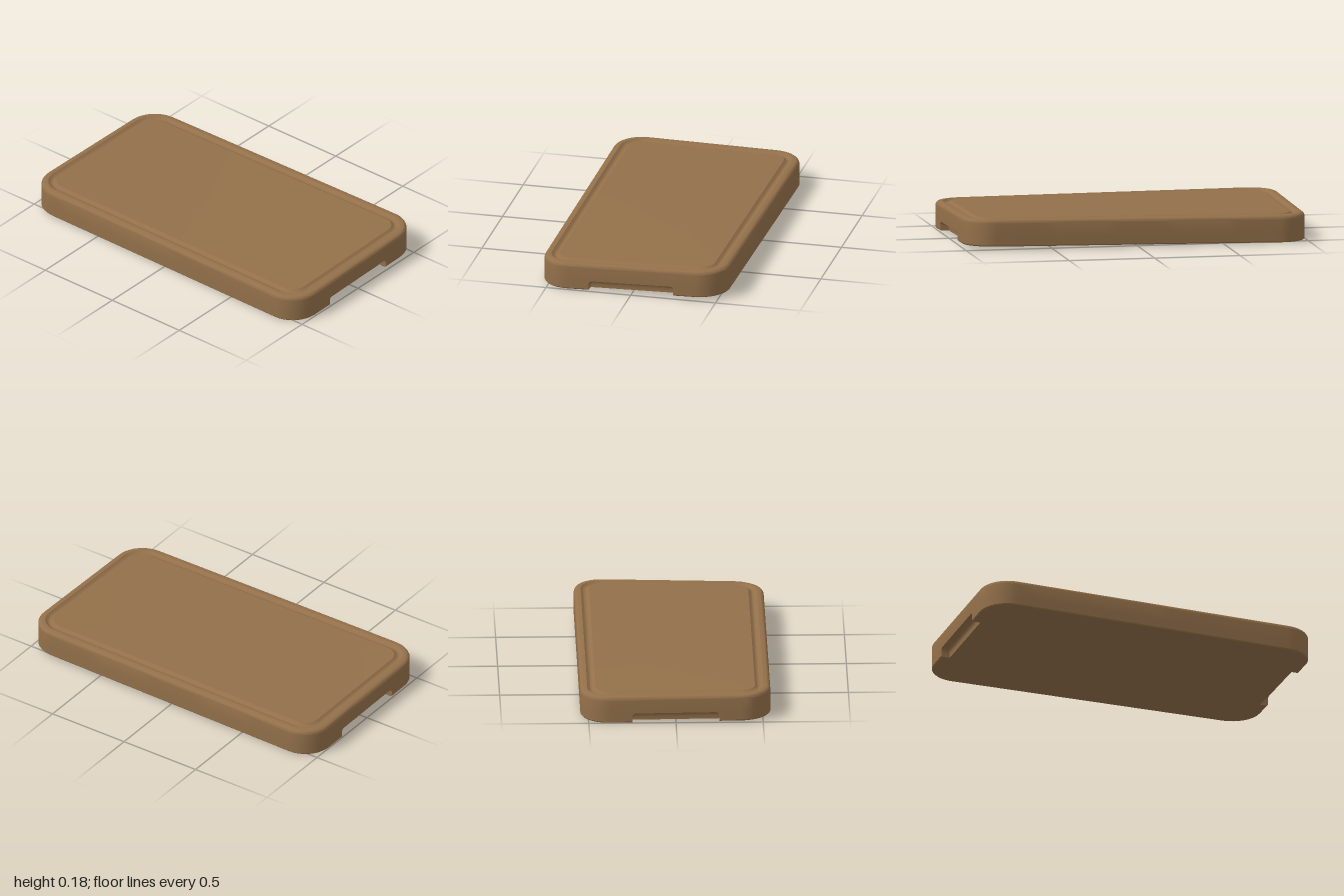
import * as THREE from 'three';
import { toCreasedNormals } from 'three/addons/utils/BufferGeometryUtils.js';

const HX = 1, HZ = 0.545, R = 0.17;        // half length, half width, corner radius
const H = 0.157;                           // thickness
const NOTCH = { half: 0.25, height: 0.055, depth: 0.05, round: 0.02 };
const CX = HX - R, CZ = HZ - R;            // corner centres

// Height of the finger notch, with rounded upper corners
function notchHeight(z) {
  const r = NOTCH.round;
  const gap = Math.max(0, r - (NOTCH.half - Math.abs(z)));
  return NOTCH.height - r + Math.sqrt(Math.max(0, r * r - gap * gap));
}

// Half of the plan outline: one short end, two corners and one long side
function halfOutline() {
  const cols = [];
  const add = (x, z, angle, notch = 0) =>
    cols.push({ x, z, nx: Math.cos(angle), nz: Math.sin(angle), notch });
  const n = NOTCH.half;
  add(CX, -n, 0);
  for (const e of [0, 0.002, 0.006, 0.012, 0.02, 0.1, 0.18]) add(CX, e - n, 0, notchHeight(e - n));
  for (const e of [0.25, 0.18, 0.1, 0.02, 0.012, 0.006, 0.002, 0]) add(CX, n - e, 0, notchHeight(n - e));
  add(CX, n, 0);
  for (let i = 0; i <= 12; i++) add(CX, CZ, (i / 12) * Math.PI / 2);
  for (let i = 1; i < 14; i++) add(CX - (i / 14) * 2 * CX, CZ, Math.PI / 2);
  for (let i = 0; i <= 12; i++) add(-CX, CZ, (1 + i / 12) * Math.PI / 2);
  return cols;
}

// Cross-section rings from the underside, up the wall and across the groove.
// t runs 0..1 up the notch; scale shrinks a ring towards the middle.
function sectionRings() {
  const rings = [{ inset: 0.1, y: 0, scale: 0 }, { inset: 0.1, y: 0, scale: 0.5 }, { inset: 0.1, y: 0 }];
  for (const t of [0, 0.12, 0.35, 0.55, 0.7, 0.82, 0.91, 0.97, 1])
    rings.push({ inset: t === 0 ? 0.006 : 0, y: t * NOTCH.height, t });
  // Rounded upper edge
  const r = 0.024;
  for (let i = 0; i <= 6; i++) {
    const a = (i / 6) * Math.PI / 2;
    rings.push({ inset: r * (1 - Math.cos(a)), y: H - r + r * Math.sin(a) });
  }
  // Juice groove
  for (let i = 0; i <= 8; i++) {
    const u = i / 8;
    rings.push({ inset: 0.04 + 0.048 * u, y: H - 0.013 * Math.sin(u * Math.PI) });
  }
  rings.push({ inset: 0.1, y: H }, { inset: 0.1, y: H, scale: 0.5 }, { inset: 0.1, y: H, scale: 0 });
  return rings;
}

// Slight twist of the wood: each corner is lifted by its own amount
function lift(x, z) {
  const u = (x + HX) / (2 * HX), v = (z + HZ) / (2 * HZ);
  const back = THREE.MathUtils.lerp(0, 0.028, u);
  const front = THREE.MathUtils.lerp(0.012, 0.002, u);
  return THREE.MathUtils.lerp(back, front, v);
}

function boardGeometry() {
  const half = halfOutline();
  const cols = half.concat(half.map(c => ({ x: -c.x, z: -c.z, nx: -c.nx, nz: -c.nz, notch: c.notch })));

  const points = sectionRings().map(ring => cols.map(c => {
    let { inset, y, t, scale = 1 } = ring;
    if (c.notch && t !== undefined) {      // curved cove of the notch
      inset = NOTCH.depth * Math.pow(1 - t ** 4, 0.5);
      y = t * c.notch;
    }
    const x = (c.x + c.nx * (R - inset)) * scale;
    const z = (c.z + c.nz * (R - inset)) * scale;
    return new THREE.Vector3(x, y + lift(x, z), z);
  }));

  const pos = [];
  const tri = new THREE.Triangle();
  const face = (a, b, c) => {
    if (tri.set(a, b, c).getArea() > 1e-9) for (const p of [a, b, c]) pos.push(p.x, p.y, p.z);
  };
  for (let k = 0; k < points.length - 1; k++) {
    for (let i = 0; i < cols.length; i++) {
      const j = (i + 1) % cols.length;
      const a = points[k][i], b = points[k + 1][i], c = points[k + 1][j], d = points[k][j];
      face(a, b, c);
      face(a, c, d);
    }
  }
  const geometry = new THREE.BufferGeometry();
  geometry.setAttribute('position', new THREE.Float32BufferAttribute(pos, 3));
  return toCreasedNormals(geometry, 0.6);
}

export function createModel() {
  const wood = new THREE.MeshStandardMaterial({ color: 0x93704a });
  wood.name = 'wood';
  const board = new THREE.Mesh(boardGeometry(), wood);
  board.name = 'cuttingBoard';
  const group = new THREE.Group();
  group.name = 'cuttingBoardModel';
  group.add(board);
  return group;
}
